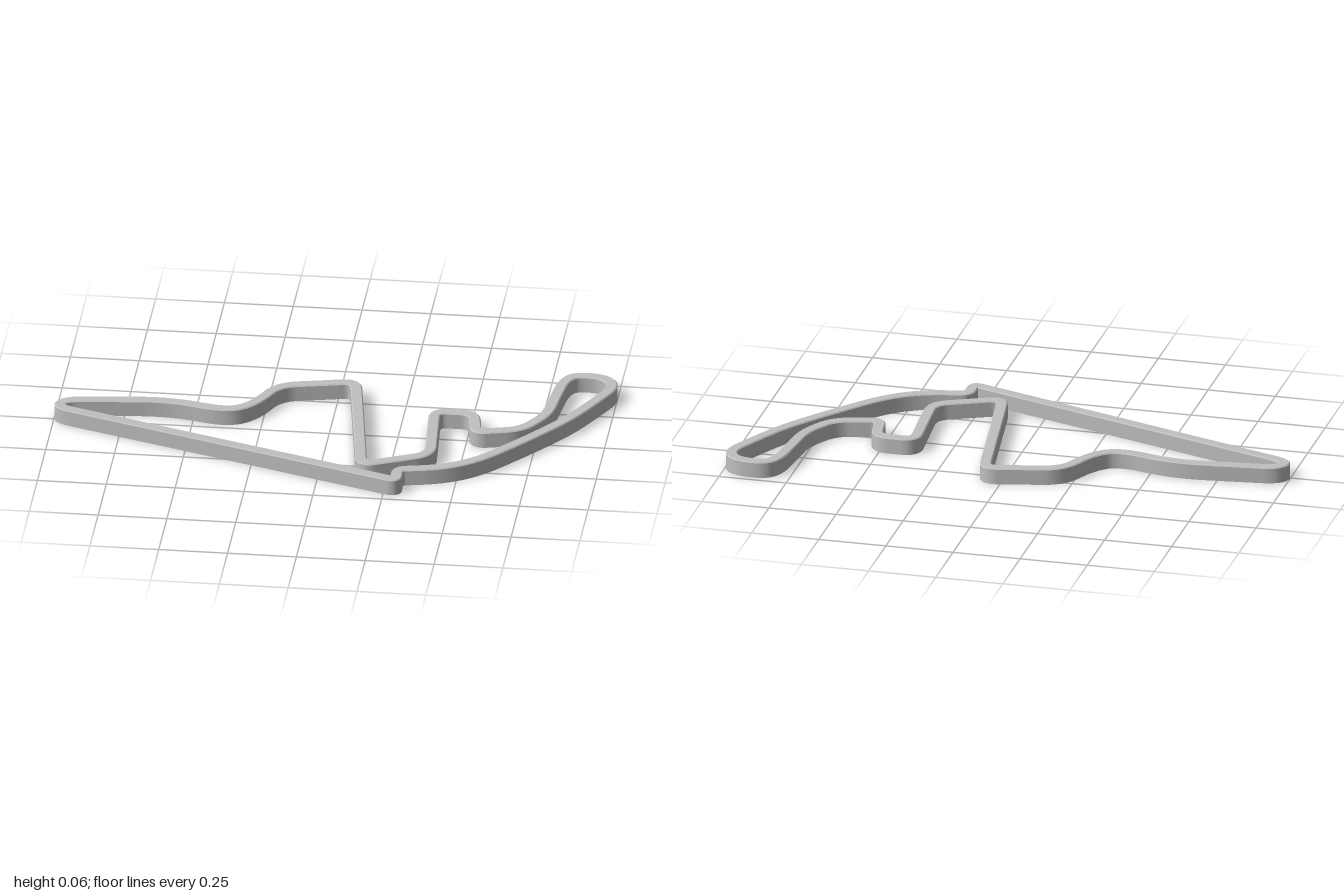
import * as THREE from 'three';

// Centreline corners of the circuit: x, z, rounding length
const CORNERS = [
  [-0.965, -0.048, 0.06], [-0.988, 0.012, 0.06],                        // west hairpin
  [0.296, 0.453, 0.03], [0.292, 0.367, 0.03],                           // south kink
  [0.45, 0.335, 0.1], [0.57, 0.26, 0.1], [0.69, 0.115, 0.1],            // long east sweep
  [0.83, -0.07, 0.12], [0.9, -0.19, 0.12],
  [0.992, -0.385, 0.06], [0.95, -0.455, 0.06],                          // north-east hairpin
  [0.84, -0.462, 0.06], [0.802, -0.405, 0.06],
  [0.775, -0.135, 0.06], [0.7, -0.005, 0.06], [0.535, 0.036, 0.04],     // inner wiggle
  [0.515, -0.112, 0.05], [0.37, -0.112, 0.05],
  [0.395, 0.235, 0.06], [0.158, 0.343, 0.05],                           // infield hairpin
  [0.06, -0.313, 0.05], [-0.215, -0.252, 0.07],                         // north corners
  [-0.285, -0.09, 0.1], [-0.375, -0.03, 0.1], [-0.59, -0.09, 0.12],
];
const HALF = 0.021, HEIGHT = 0.06, BEVEL = 0.004;

// Rounds every corner with a short curve and returns the closed list of points
function roundedLoop(corners, steps) {
  const pts = corners.map(([x, z]) => new THREE.Vector2(x, z));
  const out = [];
  const n = pts.length;
  pts.forEach((p, i) => {
    const toward = (q) => {
      const d = q.clone().sub(p);
      const len = Math.min(corners[i][2], d.length() / 2);
      return d.setLength(len).add(p);
    };
    const curve = new THREE.QuadraticBezierCurve(
      toward(pts[(i + n - 1) % n]), p, toward(pts[(i + 1) % n]));
    for (const c of curve.getPoints(steps)) {
      if (!out.length || out[out.length - 1].distanceTo(c) > 1e-4) out.push(c);
    }
  });
  if (out[0].distanceTo(out[out.length - 1]) < 1e-4) out.pop();
  return out;
}

// Sweeps a cross-section along the loop; each side is its own strip so edges stay sharp
function sweep(path, section) {
  const n = path.length;
  const positions = [], index = [];
  const sides = path.map((p, i) => {
    const t = path[(i + 1) % n].clone().sub(path[(i + n - 1) % n]).normalize();
    return new THREE.Vector2(-t.y, t.x);
  });
  section.forEach((a, k) => {
    const b = section[(k + 1) % section.length];
    const base = positions.length / 3;
    path.forEach((p, i) => {
      for (const [s, y] of [a, b]) {
        positions.push(p.x + sides[i].x * s, y, p.y + sides[i].y * s);
      }
      const v = base + i * 2, w = base + ((i + 1) % n) * 2;
      index.push(v, w, v + 1, v + 1, w, w + 1);
    });
  });
  const geometry = new THREE.BufferGeometry();
  geometry.setAttribute('position', new THREE.Float32BufferAttribute(positions, 3));
  geometry.setIndex(index);
  geometry.computeVertexNormals();
  return geometry;
}

export function createModel() {
  const group = new THREE.Group();
  group.name = 'raceCircuit';
  const grey = new THREE.MeshStandardMaterial({ color: 0xc0c0c0 });
  grey.name = 'light grey';

  // Upright band with a fine bevel along its top edges
  const section = [
    [-HALF, 0], [HALF, 0], [HALF, HEIGHT - BEVEL], [HALF - BEVEL, HEIGHT],
    [BEVEL - HALF, HEIGHT], [-HALF, HEIGHT - BEVEL],
  ];
  const track = new THREE.Mesh(sweep(roundedLoop(CORNERS, 10), section), grey);
  track.name = 'trackBand';
  group.add(track);
  return group;
}
